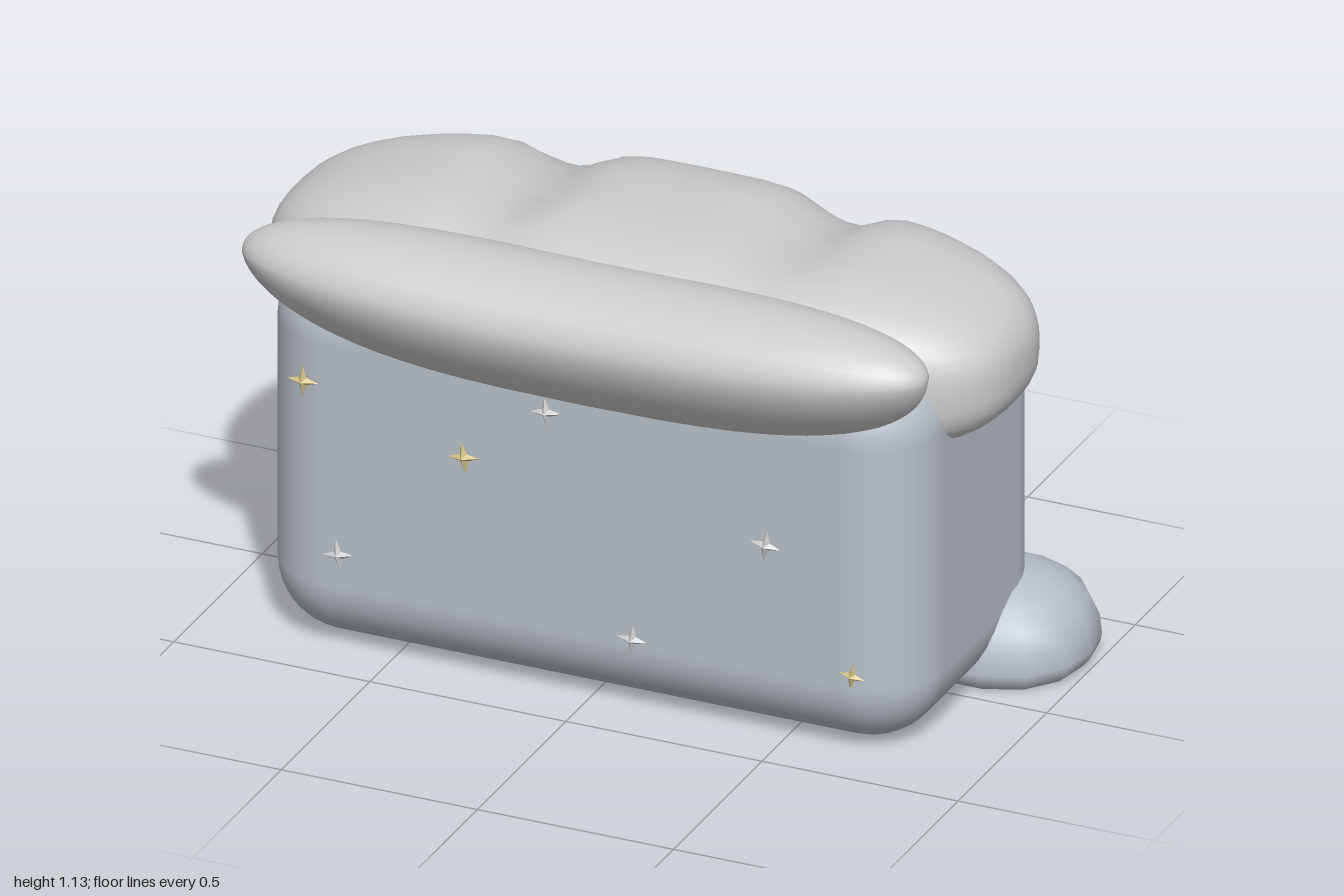
import * as THREE from 'three';
import { mergeVertices } from 'three/addons/utils/BufferGeometryUtils.js';
import { RoundedBoxGeometry } from 'three/addons/geometries/RoundedBoxGeometry.js';

const clothMat = new THREE.MeshStandardMaterial({ color: 0xcccccc });
const baseMat = new THREE.MeshStandardMaterial({ color: 0xb8c0c8 });
const goldMat = new THREE.MeshStandardMaterial({ color: 0xd0bd80, flatShading: true });
const paleMat = new THREE.MeshStandardMaterial({ color: 0xcccccc, flatShading: true });

// Smooth closed blob: a unit sphere whose vertices are moved by a rule
function blob(name, mat, w, h, rule, poleAlongX = false) {
  let g = new THREE.SphereGeometry(1, w, h);
  if (poleAlongX) g.rotateZ(Math.PI / 2);
  g.deleteAttribute('uv');
  g.deleteAttribute('normal');
  g = mergeVertices(g, 1e-5);
  const p = g.attributes.position;
  const v = new THREE.Vector3();
  for (let i = 0; i < p.count; i++) {
    rule(v.fromBufferAttribute(p, i));
    p.setXYZ(i, v.x, v.y, v.z);
  }
  g.computeVertexNormals();
  const m = new THREE.Mesh(g, mat);
  m.name = name;
  return m;
}

// Push a sphere direction out to a boxier superellipsoid
function square(v, e) {
  const s = Math.abs(v.x) ** e + Math.abs(v.y) ** e + Math.abs(v.z) ** e;
  return v.multiplyScalar(s ** (-1 / e));
}

export function createModel() {
  const group = new THREE.Group();

  // Upright body with soft edges
  const body = new THREE.Mesh(new RoundedBoxGeometry(1.68, 0.98, 0.78, 5, 0.18), baseMat);
  body.position.set(0, 0.495, 0.02);
  body.name = 'body';
  group.add(body);

  // Puffy top with two soft creases forming three lumps
  const seams = [-0.33, 0.37];
  group.add(blob('puffyTop', clothMat, 64, 40, v => {
    square(v, 2.8);
    const up = Math.max(v.y, 0);
    const back = THREE.MathUtils.clamp(0.6 - v.z * 0.5, 0.2, 1);
    v.set(v.x * 0.94, 0.885 + v.y * (v.y > 0 ? 0.25 : 0.23), v.z * 0.38);
    for (const s of seams) v.y -= 0.09 * up * back * Math.exp(-(((v.x - s) / 0.1) ** 2));
  }));

  // Overhanging front roll: round above, tapering back to the body below
  group.add(blob('frontRoll', clothMat, 32, 36, v => {
    const r = Math.hypot(v.y, v.z);
    const along = Math.sign(v.x) * Math.abs(v.x) ** 0.6;
    if (r > 1e-6) {
      const e = v.y < 0 ? 1.4 : 2;
      const a = Math.abs(v.y) / r, b = Math.abs(v.z) / r;
      const k = (a ** e + b ** e) ** (-1 / e);
      v.y *= k;
      v.z *= k;
    }
    const bend = along * along;
    v.set(along * 0.87,
      0.97 + 0.045 * bend + v.y * (v.y > 0 ? 0.14 : 0.21),
      0.36 + 0.03 * bend + v.z * 0.178);
  }, true));

  // Rounded back feet, flat underneath
  const feet = [
    ['rightFoot', -0.735, -0.28, 0.265, 0.26],
    ['leftFoot', 0.765, -0.25, 0.235, 0.225],
  ];
  for (const [name, x, z, rx, rz] of feet) {
    group.add(blob(name, baseMat, 14, 12, v => {
      square(v, 2.3);
      v.set(x + v.x * rx, 0.05 + (v.y > 0 ? v.y * 0.18 : Math.max(v.y, -0.5) * 0.09), z + v.z * rz);
    }));
  }

  // Small four-pointed stars across the front
  const star = new THREE.SphereGeometry(1, 8, 2).rotateX(Math.PI / 2);
  const p = star.attributes.position;
  for (let i = 0; i < p.count; i++) {
    const x = p.getX(i), y = p.getY(i);
    const diagonal = Math.abs(x * y) > 0.1;
    const r = diagonal ? 0.013 : 0.04;
    p.setXYZ(i, x * r, y * r, p.getZ(i) * 0.015);
  }
  star.computeVertexNormals();
  const spots = [
    [-0.71, 0.705, 1], [-0.3, 0.59, 1], [0.69, 0.225, 1], [-0.09, 0.75, 0],
    [0.32, 0.815, 0], [0.47, 0.52, 0], [-0.62, 0.27, 0], [0.13, 0.205, 0],
  ];
  spots.forEach(([x, y, gold], i) => {
    const m = new THREE.Mesh(star, gold ? goldMat : paleMat);
    m.position.set(x, y, 0.414);
    m.rotation.z = 0.15 * Math.sin(i * 2.3);
    m.scale.setScalar(i === 4 || i === 2 ? 0.85 : 1);
    m.name = 'star';
    group.add(m);
  });

  return group;
}
